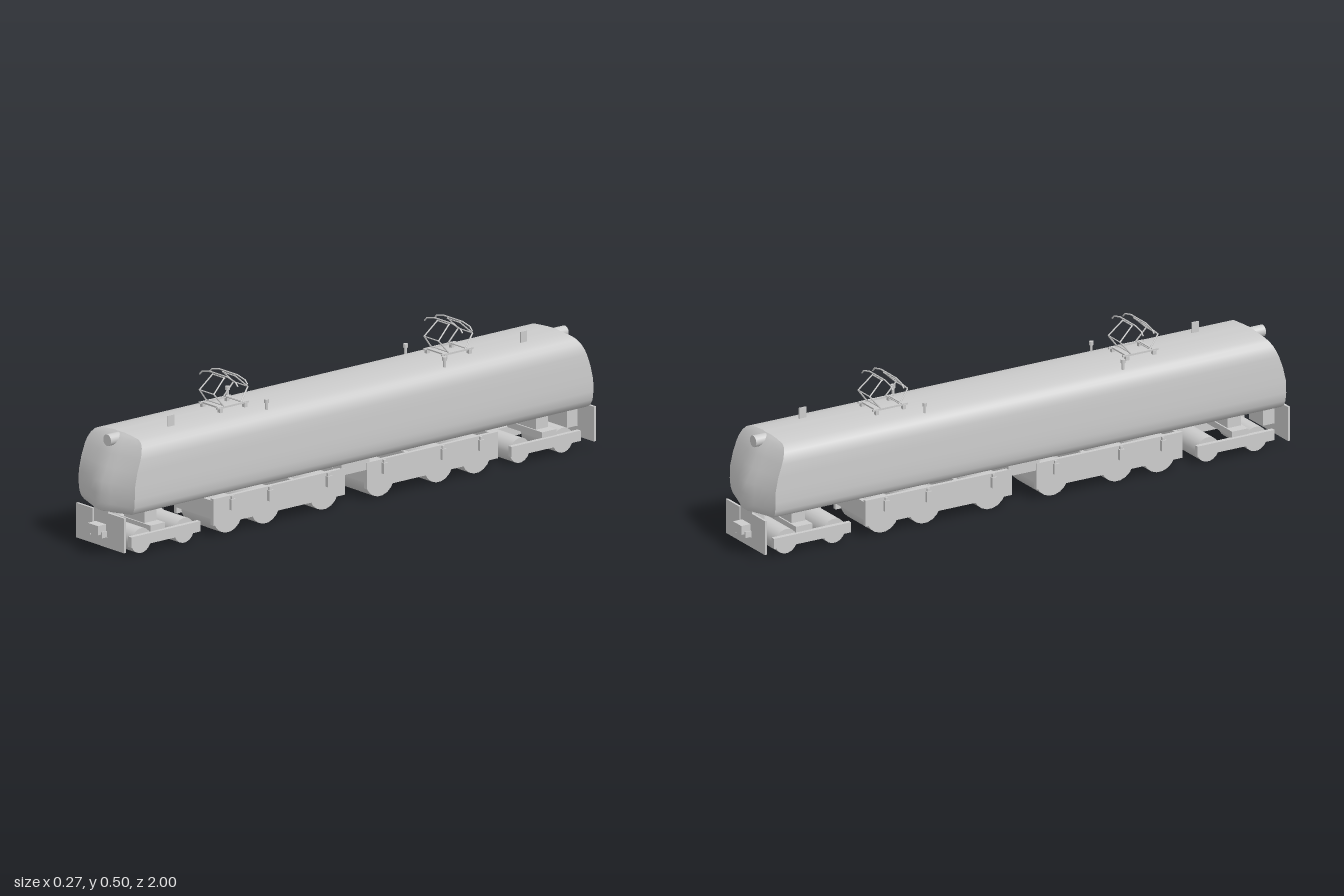
import * as THREE from 'three';
import { toCreasedNormals } from 'three/addons/utils/BufferGeometryUtils.js';

const mat = new THREE.MeshStandardMaterial({ color: 0xcccccc, side: THREE.DoubleSide });

function add(parent, name, geo, x = 0, y = 0, z = 0) {
  const m = new THREE.Mesh(geo, mat);
  m.name = name;
  m.position.set(x, y, z);
  parent.add(m);
  return m;
}

const box = (parent, name, w, h, d, x, y, z) =>
  add(parent, name, new THREE.BoxGeometry(w, h, d), x, y, z);

// Thin round bar between two points
function bar(parent, name, a, b, r = 0.002) {
  const p = new THREE.Vector3(...a), q = new THREE.Vector3(...b);
  const m = add(parent, name, new THREE.CylinderGeometry(r, r, p.distanceTo(q), 6));
  m.position.copy(p).add(q).multiplyScalar(0.5);
  m.quaternion.setFromUnitVectors(new THREE.Vector3(0, 1, 0), q.sub(p).normalize());
  return m;
}

// Body shell stacked from horizontal slices: [height, half width, corner z, nose z]
function bodyGeometry() {
  const levels = [
    [0.141, 0.092, 0.93, 0.965], [0.146, 0.114, 0.937, 0.974], [0.155, 0.126, 0.94, 0.977],
    [0.172, 0.134, 0.942, 0.978], [0.2, 0.137, 0.943, 0.978], [0.24, 0.137, 0.942, 0.975],
    [0.285, 0.136, 0.932, 0.954], [0.325, 0.135, 0.918, 0.938], [0.342, 0.132, 0.911, 0.929],
    [0.36, 0.124, 0.903, 0.918], [0.373, 0.112, 0.896, 0.907], [0.38, 0.095, 0.892, 0.9],
    [0.384, 0.06, 0.89, 0.895], [0.387, 0.025, 0.89, 0.892],
  ];
  const cols = [-1, -0.85, -0.6, -0.35, -0.11, 0.11, 0.35, 0.6, 0.85, 1];
  const n = cols.length * 2, pos = [], idx = [];
  for (const [y, w, corner, nose] of levels) {
    for (const s of [1, -1]) {
      for (const c of cols) {
        const t = Math.min(1, (1 - Math.abs(c)) / 0.89);
        pos.push(s * c * w, y, s * (corner + (nose - corner) * t));
      }
    }
  }
  for (let j = 0; j < levels.length - 1; j++) {
    for (let i = 0; i < n; i++) {
      const a = j * n + i, b = j * n + (i + 1) % n;
      idx.push(a, b, b + n, a, b + n, a + n);
    }
  }
  // Roof and floor caps
  const top = (levels.length - 1) * n, c = pos.length / 3;
  pos.push(0, 0.387, 0, 0, 0.141, 0);
  for (let i = 0; i < n; i++) {
    const k = (i + 1) % n;
    idx.push(c, top + i, top + k, c + 1, k, i);
  }
  const g = new THREE.BufferGeometry();
  g.setAttribute('position', new THREE.Float32BufferAttribute(pos, 3));
  g.setIndex(idx);
  return toCreasedNormals(g, 0.55);
}

function wheelset(parent, r, z) {
  add(parent, 'wheelset', new THREE.CylinderGeometry(r, r, 0.156, 18), 0, r, z).rotation.z = Math.PI / 2;
}

// Small guiding truck with two axles
function guideTruck() {
  const g = new THREE.Group();
  g.name = 'guideTruck';
  for (const s of [-1, 1]) box(g, 'truckRail', 0.016, 0.034, 0.284, s * 0.09, 0.049, 0.782);
  box(g, 'truckBolster', 0.17, 0.02, 0.06, 0, 0.075, 0.805);
  box(g, 'truckPost', 0.1, 0.08, 0.05, 0, 0.105, 0.805);
  for (const z of [0.69, 0.867]) wheelset(g, 0.041, z);
  return g;
}

// Long driving frame with three axles and spring hangers
function drivingTruck() {
  const g = new THREE.Group();
  g.name = 'drivingTruck';
  const axles = [0.115, 0.356, 0.511];
  for (const s of [-1, 1]) {
    box(g, 'sideFrame', 0.014, 0.087, 0.54, s * 0.09, 0.083, 0.315);
    for (const z of axles) {
      box(g, 'springHanger', 0.012, 0.035, 0.018, s * 0.102, 0.098, z);
      box(g, 'springPin', 0.008, 0.012, 0.01, s * 0.1, 0.119, z);
    }
  }
  for (const z of [0.052, 0.235, 0.579]) box(g, 'crossFrame', 0.18, 0.06, 0.014, 0, 0.09, z);
  for (const z of axles) wheelset(g, 0.06, z);
  return g;
}

// Plough plate with a notch, plus coupler
function endGear() {
  const g = new THREE.Group();
  g.name = 'endGear';
  const s = new THREE.Shape();
  [[-0.117, 0.027], [0.117, 0.027], [0.117, 0.141], [0.036, 0.141], [0.036, 0.06],
    [-0.036, 0.06], [-0.036, 0.141], [-0.117, 0.141]]
    .forEach(([x, y], i) => (i ? s.lineTo(x, y) : s.moveTo(x, y)));
  add(g, 'ploughPlate', new THREE.ExtrudeGeometry(s, { depth: 0.008, bevelEnabled: false }), 0, 0, 0.962);
  box(g, 'couplerHousing', 0.07, 0.085, 0.046, 0, 0.103, 0.943);
  box(g, 'coupler', 0.05, 0.03, 0.034, 0, 0.086, 0.983);
  box(g, 'couplerStep', 0.06, 0.009, 0.018, 0, 0.065, 0.975);
  for (const x of [-0.029, 0.029]) box(g, 'stepBracket', 0.004, 0.02, 0.022, x, 0.07, 0.978);
  const lamp = add(g, 'headlight', new THREE.CylinderGeometry(0.019, 0.019, 0.05, 20), 0, 0.366, 0.916);
  lamp.rotation.x = Math.PI / 2;
  return g;
}

// Folding diamond current collector, centred on its own z = 0
function pantograph() {
  const g = new THREE.Group();
  g.name = 'pantograph';
  for (const s of [-1, 1]) {
    box(g, 'baseRail', 0.006, 0.006, 0.13, s * 0.043, 0.4, 0);
    for (const z of [-0.05, 0.05]) box(g, 'baseFoot', 0.012, 0.016, 0.012, s * 0.043, 0.391, z);
    box(g, 'baseCrossbar', 0.09, 0.005, 0.008, 0, 0.4, s * 0.05);
    for (const x of [-1, 1]) {
      bar(g, 'lowerArm', [x * 0.042, 0.403, s * 0.035], [x * 0.035, 0.446, s * 0.07], 0.0027);
      bar(g, 'upperArm', [x * 0.035, 0.446, s * 0.07], [x * 0.028, 0.491, s * 0.02], 0.0025);
    }
    bar(g, 'pivotBar', [-0.042, 0.405, s * 0.035], [0.042, 0.405, s * 0.035]);
    bar(g, 'kneeBar', [-0.036, 0.446, s * 0.07], [0.036, 0.446, s * 0.07]);
    bar(g, 'headBar', [-0.03, 0.489, s * 0.02], [0.03, 0.489, s * 0.02]);
    // Contact bow with drooping horns
    const bow = [[-0.093, 0.475], [-0.081, 0.487], [-0.045, 0.495], [0.045, 0.495], [0.081, 0.487], [0.093, 0.475]];
    for (let i = 0; i < bow.length - 1; i++) {
      bar(g, 'contactBow', [...bow[i], s * 0.02], [...bow[i + 1], s * 0.02], 0.0025);
    }
  }
  return g;
}

export function createModel() {
  const model = new THREE.Group();
  model.name = 'electricLocomotive';
  add(model, 'body', bodyGeometry());
  box(model, 'centreBox', 0.19, 0.04, 0.115, 0, 0.123, 0);

  for (const s of [1, -1]) {
    // Each half is the same, turned around
    const half = new THREE.Group();
    half.name = s > 0 ? 'frontHalf' : 'rearHalf';
    half.rotation.y = s > 0 ? 0 : Math.PI;
    half.add(guideTruck(), drivingTruck(), endGear());
    const p = pantograph();
    p.position.z = 0.462;
    half.add(p);
    for (const x of [-0.095, 0.095]) {
      add(half, 'insulatorPost', new THREE.CylinderGeometry(0.0045, 0.0045, 0.032, 10), x, 0.388, 0.366);
      add(half, 'insulatorCap', new THREE.CylinderGeometry(0.0075, 0.0075, 0.012, 10), x, 0.407, 0.366);
    }
    model.add(half);
    // Roof aerial blade, on the left at both ends
    box(model, 'aerial', 0.004, 0.038, 0.026, 0.055, 0.401, s * 0.725);
  }
  return model;
}
